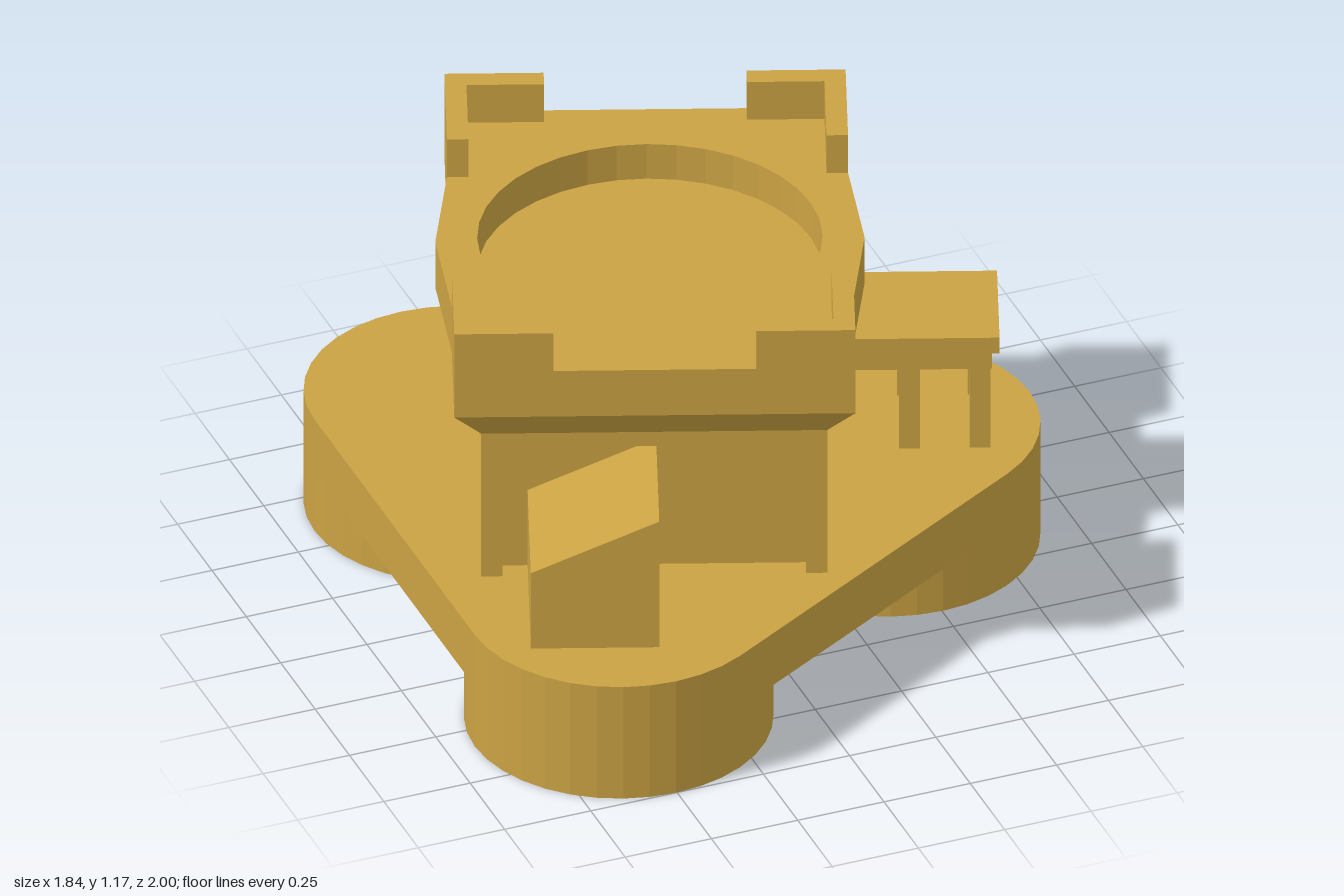
import * as THREE from 'three';

const sand = new THREE.MeshStandardMaterial({ color: 0xcaa243 });
sand.name = 'sandstone';
sand.flatShading = true;

function add(parent, name, geometry) {
  const mesh = new THREE.Mesh(geometry, sand);
  mesh.name = name;
  parent.add(mesh);
  return mesh;
}

// Box given by its low and high corner
function block(parent, name, [x0, y0, z0], [x1, y1, z1]) {
  const g = new THREE.BoxGeometry(x1 - x0, y1 - y0, z1 - z0);
  g.translate((x0 + x1) / 2, (y0 + y1) / 2, (z0 + z1) / 2);
  return add(parent, name, g);
}

// Plan shape (x, -z) raised from y0 to y1
function slab(parent, name, shape, y0, y1, curveSegments = 6) {
  const g = new THREE.ExtrudeGeometry(shape, { depth: y1 - y0, bevelEnabled: false, curveSegments });
  g.rotateX(-Math.PI / 2);
  g.translate(0, y0, 0);
  return add(parent, name, g);
}

// Rectangle whose long sides bulge slightly in the middle
function outline(hx, hz, bulge) {
  const k = 0.325;
  const half = [[hx, -hz], [hx, -k], [hx + bulge, 0], [hx, k], [hx, hz]];
  return [...half, ...half.map(([x, y]) => [-x, -y])].map(([x, y]) => new THREE.Vector2(x, y));
}

// Flat-sided skin between two plan loops
function loft(low, high, y0, y1) {
  const p = [];
  low.forEach((a, i) => {
    const j = (i + 1) % low.length;
    const q = [[a, y0], [low[j], y0], [high[j], y1], [high[i], y1]];
    for (const n of [0, 1, 2, 0, 2, 3]) p.push(q[n][0].x, q[n][1], -q[n][0].y);
  });
  const g = new THREE.BufferGeometry();
  g.setAttribute('position', new THREE.Float32BufferAttribute(p, 3));
  g.computeVertexNormals();
  return g;
}

const GROUND = 0.355, WALL_TOP = 0.81, DECK = 1.055, TOP = 1.175;

function buildBase(model) {
  const base = new THREE.Group();
  base.name = 'base';
  model.add(base);
  const r = 0.417, t = Math.PI / 3;
  const centres = [[0.503, 0], [-0.503, 0.583], [-0.503, -0.583]];
  const shape = new THREE.Shape();
  centres.forEach(([x, y], i) => {
    shape.absarc(x, y, r, (2 * i - 1) * t, (2 * i + 1) * t, false);
    const foot = add(base, 'foot', new THREE.CylinderGeometry(r, r, 0.19, 36));
    foot.position.set(x, 0.095, -y);
  });
  slab(base, 'platform', shape, 0.19, GROUND);
}

function buildWalls(tower) {
  const hx = 0.466, hz = 0.58, d = 0.054;
  block(tower, 'wallPanels', [d - hx, GROUND, d - hz], [hx - d, WALL_TOP, hz - d]);
  block(tower, 'wallHead', [-hx, 0.765, -hz], [hx, WALL_TOP, hz]);
  const w = 0.057;
  for (const sx of [-1, 1]) for (const sz of [-1, 1]) {
    const x = sx * (hx - w / 2), z = sz * (hz - w / 2);
    block(tower, 'cornerPost', [x - w / 2, GROUND, z - w / 2], [x + w / 2, 0.765, z + w / 2]);
  }
}

function buildCrown(tower) {
  const hx = 0.54, hz = 0.655;
  const rim = outline(hx, hz, 0.038);
  add(tower, 'corbel', loft(outline(0.466, 0.58, 0), rim, WALL_TOP, 0.91));
  const shape = new THREE.Shape(rim);
  const hole = new THREE.Path();
  hole.absarc(0, 0.015, 0.465, 0, Math.PI * 2, true);
  shape.holes.push(hole);
  slab(tower, 'crown', shape, 0.91, DECK, 18);
  const floor = add(tower, 'pitFloor', new THREE.CylinderGeometry(0.466, 0.466, 0.035, 36));
  floor.position.set(0, 0.9275, -0.015);

  // L-shaped battlements on the four corners
  const t = 0.058;
  for (const sx of [-1, 1]) for (const sz of [-1, 1]) {
    const l = [[0, 0], [0.267, 0], [0.267, t], [t, t], [t, 0.33], [0, 0.33]];
    const pts = l.map(([a, b]) => new THREE.Vector2(sx * (hx - a), sz * (hz - b)));
    slab(tower, 'battlement', new THREE.Shape(pts), DECK, TOP);
  }
}

// Lean-to with a sloping top and a recessed doorway in its tall side
function buildLeanTo(tower) {
  const group = new THREE.Group();
  group.name = 'leanTo';
  tower.add(group);
  const x0 = -0.34, x1 = 0.006, xr = -0.045;
  const section = (name, pts, z0, z1) => {
    const shape = new THREE.Shape(pts.map(([x, y]) => new THREE.Vector2(x, y)));
    const g = new THREE.ExtrudeGeometry(shape, { depth: z1 - z0, bevelEnabled: false });
    g.translate(0, 0, z0);
    add(group, name, g);
  };
  const top = [[x1, 0.755], [x0, 0.595]];
  section('leanToBody', [[x0, GROUND], [xr, GROUND], [xr, 0.715], [x1, 0.715], ...top], 0.51, 0.91);
  section('leanToFront', [[x0, GROUND], [x1, GROUND], ...top], 0.91, 0.945);
}

function buildPorch(tower) {
  const porch = new THREE.Group();
  porch.name = 'porch';
  tower.add(porch);
  block(porch, 'porchRoof', [0.4, 0.66, -0.369], [0.942, 0.71, -0.032]);
  block(porch, 'porchBeam', [0.4, 0.61, -0.365], [0.922, 0.66, -0.034]);
  for (const x of [0.7, 0.89]) for (const z of [-0.335, -0.068]) {
    block(porch, 'porchPost', [x - 0.028, GROUND, z - 0.028], [x + 0.028, 0.61, z + 0.028]);
  }
}

// Rectangular surround standing out from a side wall
function surround(tower, name, side, z, y0, y1, width, bar, depth, sill) {
  const group = new THREE.Group();
  group.name = name;
  tower.add(group);
  const a = side * 0.41, b = side * (0.412 + depth);
  const [x0, x1] = [Math.min(a, b), Math.max(a, b)];
  const h = width / 2;
  block(group, name + 'Head', [x0, y1 - bar, z - h], [x1, y1, z + h]);
  if (sill) block(group, name + 'Sill', [x0, y0, z - h], [x1, y0 + bar, z + h]);
  const low = sill ? y0 + bar : y0;
  block(group, name + 'Jamb', [x0, low, z - h], [x1, y1 - bar, z - h + bar]);
  block(group, name + 'Jamb', [x0, low, z + h - bar], [x1, y1 - bar, z + h]);
}

export function createModel() {
  const model = new THREE.Group();
  model.name = 'watchtower';
  buildBase(model);

  const tower = new THREE.Group();
  tower.name = 'tower';
  tower.position.set(-0.155, 0, -0.063);
  tower.rotation.y = -0.359;
  model.add(tower);
  buildWalls(tower);
  buildCrown(tower);
  buildLeanTo(tower);
  buildPorch(tower);
  surround(tower, 'door', 1, 0.272, GROUND, 0.535, 0.155, 0.025, 0.053, false);
  for (const z of [-0.2, 0.28]) surround(tower, 'window', -1, z, 0.49, 0.63, 0.17, 0.026, 0.04, true);
  return model;
}
